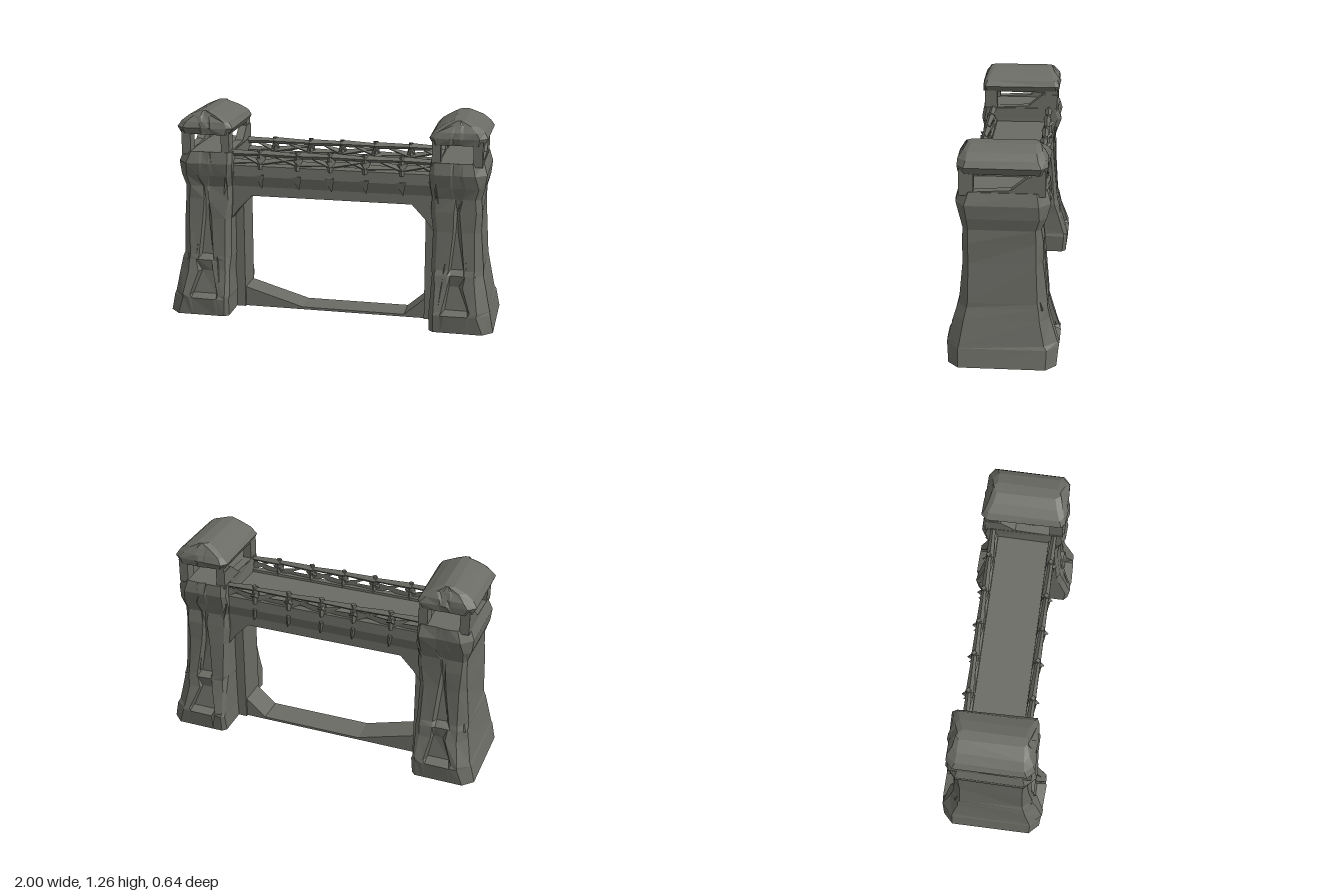
import * as THREE from 'three';

const stone = new THREE.MeshStandardMaterial({ color: 0x6a6b64, flatShading: true });
stone.name = 'dark stone';

let seed = 7;
const rnd = () => { seed = (seed * 16807) % 2147483647; return seed / 2147483647 - 0.5; };

function add(parent, name, geo) {
  const mesh = new THREE.Mesh(geo, stone);
  mesh.name = name;
  parent.add(mesh);
  return mesh;
}

// Closed skin over rings of [x, y, z]; flip reverses the winding for mirrored parts.
function loft(rings, flip) {
  const n = rings[0].length, pos = [], idx = [];
  rings.forEach(r => r.forEach(p => pos.push(...p)));
  const tri = (a, b, c) => (flip ? idx.push(a, c, b) : idx.push(a, b, c));
  for (let j = 0; j + 1 < rings.length; j++) {
    for (let i = 0; i < n; i++) {
      const a = j * n + i, b = j * n + (i + 1) % n;
      tri(a, a + n, b);
      tri(b, a + n, b + n);
    }
  }
  [0, rings.length - 1].forEach((j, top) => {
    const r = rings[j], c = pos.length / 3;
    pos.push(...[0, 1, 2].map(k => r.reduce((s, p) => s + p[k], 0) / n));
    for (let i = 0; i < n; i++) {
      const a = j * n + i, b = j * n + (i + 1) % n;
      if (top) tri(a, c, b); else tri(a, b, c);
    }
  });
  const g = new THREE.BufferGeometry();
  g.setAttribute('position', new THREE.Float32BufferAttribute(pos, 3));
  g.setIndex(idx);
  g.computeVertexNormals();
  return g;
}

// Chamfered ring with a niche of depth d between g0 and g1 on front and back.
function ring(s, [y, xi, xo, z, c, g0 = 0.72, g1 = 0.79, d = 0], jitter = 0) {
  const ci = 0.025, m = Math.min(0.015, (g1 - g0) / 3);
  const front = [[xo, z - c], [xo - c, z], [g1, z], [g1 - m, z - d], [g0 + m, z - d], [g0, z], [xi + ci, z], [xi, z - ci]];
  const back = front.map(([x, w]) => [x, -w]).reverse();
  return [...front, ...back].map(([x, w]) => [s * (x + rnd() * jitter), y, w + rnd() * jitter]);
}

// Bar from a to b, thickness r at a and r2 at b.
function bar(parent, name, a, b, r, r2 = r, sides = 4) {
  const p = new THREE.Vector3(...a), q = new THREE.Vector3(...b), d = q.clone().sub(p);
  const mesh = add(parent, name, new THREE.CylinderGeometry(r2, r, d.length(), sides));
  mesh.position.copy(p).add(q).multiplyScalar(0.5);
  mesh.quaternion.setFromUnitVectors(new THREE.Vector3(0, 1, 0), d.normalize());
  return mesh;
}

function box(parent, name, x0, x1, y0, y1, z0, z1) {
  const size = [x1 - x0, y1 - y0, z1 - z0].map(Math.abs);
  add(parent, name, new THREE.BoxGeometry(...size)).position.set((x0 + x1) / 2, (y0 + y1) / 2, (z0 + z1) / 2);
}

function extrude(points, depth) {
  const shape = new THREE.Shape(points.map(p => new THREE.Vector2(...p)));
  return new THREE.ExtrudeGeometry(shape, { depth, bevelEnabled: false }).translate(0, 0, -depth / 2);
}

// Outline in (z, y) run along x.
const extrudeAlongX = (points, length) => extrude(points, length).rotateY(-Math.PI / 2);

// y, inner x, outer x, half depth, chamfer, niche start, niche end, niche depth
const towerLevels = [
  [0, 0.62, 1.0, 0.305, 0.06, 0.69, 0.86],
  [0.11, 0.62, 0.975, 0.317, 0.07, 0.69, 0.86],
  [0.13, 0.62, 0.97, 0.31, 0.07, 0.69, 0.86, 0.05],
  [0.27, 0.62, 0.94, 0.27, 0.06, 0.72, 0.81, 0.03],
  [0.34, 0.62, 0.93, 0.252, 0.05, 0.72, 0.83],
  [0.37, 0.62, 0.925, 0.245, 0.05, 0.72, 0.82, 0.035],
  [0.6, 0.62, 0.912, 0.225, 0.04, 0.74, 0.79, 0.03],
  [0.72, 0.61, 0.905, 0.22, 0.03, 0.75, 0.78, 0.02],
  [0.8, 0.61, 0.9, 0.215, 0.03, 0.74, 0.79],
  [0.87, 0.6, 0.925, 0.237, 0.04, 0.72, 0.81],
  [0.95, 0.6, 0.93, 0.26, 0.06],
  [1.02, 0.6, 0.905, 0.245, 0.06],
];
const roofLevels = [
  [1.125, 0.61, 0.915, 0.24, 0.04],
  [1.165, 0.59, 0.93, 0.25, 0.04],
  [1.2, 0.615, 0.91, 0.237, 0.04],
  [1.235, 0.67, 0.865, 0.215, 0.03],
  [1.264, 0.73, 0.79, 0.198, 0.02, 0.75, 0.77],
];

function tower(s) {
  const g = new THREE.Group();
  g.name = s > 0 ? 'leftTower' : 'rightTower';
  add(g, 'towerBody', loft(towerLevels.map((l, i) => ring(s, l, i ? 0.012 : 0)), s < 0));
  add(g, 'towerRoof', loft(roofLevels.map(l => ring(s, l, 0.012)), s < 0));
  for (const k of [1, -1]) {
    // Lookout corner posts
    box(g, 'lookoutPost', s * 0.61, s * 0.66, 1.0, 1.15, k * 0.155, k * 0.235);
    box(g, 'lookoutPost', s * 0.85, s * 0.905, 1.0, 1.15, k * 0.155, k * 0.235);
    // Jagged stone shards on the faces and corners
    bar(g, 'cornerShard', [s * 0.885, 0.33, k * 0.205], [s * 0.89, 0.43, k * 0.19], 0.045, 0.004, 3);
    bar(g, 'faceShard', [s * 0.67, 0.12, k * 0.28], [s * 0.71, 0.48, k * 0.218], 0.028, 0.004, 3);
    bar(g, 'faceShard', [s * 0.83, 0.38, k * 0.217], [s * 0.79, 0.72, k * 0.2], 0.026, 0.004, 3);
    bar(g, 'shoulderShard', [s * 0.625, 0.9, k * 0.205], [s * 0.66, 0.7, k * 0.2], 0.04, 0.004, 3);
  }
  // Lookout floor sloping up towards the back, with a stub against the rear posts
  const slope = [[0.16, 1.0], [0.16, 1.022], [-0.05, 1.035], [-0.14, 1.11], [-0.235, 1.11], [-0.235, 1.0]];
  for (const x of [0.63, 0.88]) add(g, 'lookoutSill', extrudeAlongX(slope, 0.05)).position.x = s * x;
  // Gate jamb
  box(g, 'gateJamb', s * 0.565, s * 0.64, 0, 0.7, -0.1, 0.1);
  return g;
}

export function createModel() {
  const model = new THREE.Group();
  model.name = 'stoneGate';
  model.add(tower(1), tower(-1));

  // Arched beam with corner brackets
  add(model, 'archBeam', extrude([[-0.66, 0.87], [-0.66, 0.52], [-0.615, 0.6], [-0.57, 0.66], [-0.49, 0.745],
    [0.49, 0.745], [0.57, 0.66], [0.615, 0.6], [0.66, 0.52], [0.66, 0.87]], 0.36));
  box(model, 'walkway', -0.64, 0.64, 0.86, 0.93, -0.17, 0.17);

  // Ground sill rising against the jambs
  add(model, 'groundSill', extrude([[-0.64, 0], [0.64, 0], [0.64, 0.2], [0.56, 0.12], [0.44, 0.015],
    [-0.2, 0.015], [-0.57, 0.125], [-0.64, 0.14]], 0.17));

  // Broken parapets along both sides of the walkway
  const knots = [-0.62, -0.43, -0.2, 0, 0.21, 0.43, 0.62];
  for (const k of [1, -1]) {
    const parapet = new THREE.Group();
    parapet.name = k > 0 ? 'frontParapet' : 'backParapet';
    model.add(parapet);
    // Flared wall
    const profile = [[0.176, 0.79], [0.2, 0.87], [0.196, 0.935], [0.18, 0.952], [0.155, 0.945], [0.15, 0.88]];
    add(parapet, 'parapetWall', extrudeAlongX(profile.map(([z, y]) => [k * z, y]), 1.26));
    knots.forEach((x, i) => {
      if (i < knots.length - 1) {
        const x1 = knots[i + 1], t = 0.004 * (i % 2);
        bar(parapet, 'topRail', [x - 0.01, 1.009 + t, k * 0.18], [x1 + 0.01, 1.012 - t, k * 0.186], 0.023, 0.014);
        bar(parapet, 'brokenRail', [x, 0.95, k * 0.178], [x1, i % 2 ? 0.99 : 0.96, k * 0.184], 0.026, 0.008, 3);
        bar(parapet, 'brace', [x1, 0.95, k * 0.182], [x + 0.07, 1.0, k * 0.178], 0.025, 0.005, 3);
      }
      if (i > 0 && i < knots.length - 1) {
        bar(parapet, 'parapetPost', [x, 0.92, k * 0.18], [x, 1.035, k * 0.187], 0.03, 0.016);
        bar(parapet, 'outerSpike', [x, 0.965, k * 0.17], [x - 0.012, 0.985, k * 0.225], 0.045, 0.002, 3);
        bar(parapet, 'hangingSpike', [x, 0.88, k * 0.188], [x + 0.01, 0.8, k * 0.195], 0.036, 0.002, 3);
      }
    });
  }
  return model;
}
